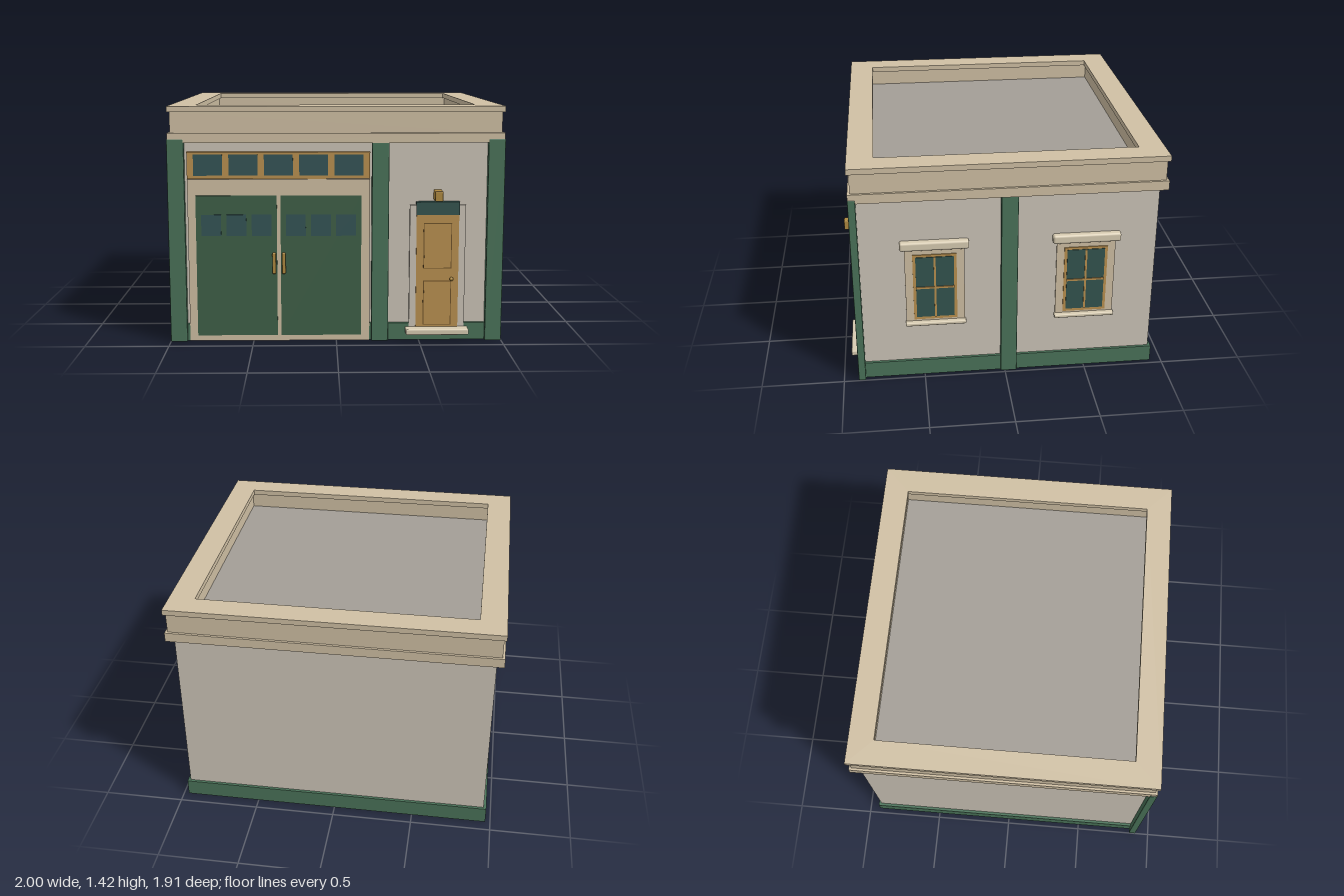
import * as THREE from 'three';
import { RoundedBoxGeometry } from 'three/addons/geometries/RoundedBoxGeometry.js';

const mat = (color) => new THREE.MeshStandardMaterial({ color });
const M = {
  wall: mat(0xcdc5b8), trim: mat(0xd0c0a4), stone: mat(0xd8ccb2), roof: mat(0xa39e96),
  green: mat(0x4a7359), door: mat(0x3f6048), wood: mat(0xbb9150), brass: mat(0xb08a40),
  glass: mat(0x34544f), pane: mat(0x345456), line: mat(0x6e5228),
};

// Box given by its min and max on each axis; r > 0 rounds the edges
function block(parent, name, material, [x0, x1], [y0, y1], [z0, z1], r = 0) {
  const s = [x1 - x0, y1 - y0, z1 - z0];
  const geo = r ? new RoundedBoxGeometry(...s, 2, r) : new THREE.BoxGeometry(...s);
  const mesh = new THREE.Mesh(geo, material);
  mesh.position.set((x0 + x1) / 2, (y0 + y1) / 2, (z0 + z1) / 2);
  mesh.name = name;
  parent.add(mesh);
  return mesh;
}

const CZ = -0.023; // middle of the building in z

// Horizontal rectangular ring around the roof well
function ring(parent, name, hx, hz, ix, iz, y0, y1) {
  const rect = (P, a, b) => {
    const p = new P();
    p.moveTo(-a, -b); p.lineTo(a, -b); p.lineTo(a, b); p.lineTo(-a, b); p.closePath();
    return p;
  };
  const shape = rect(THREE.Shape, hx, hz);
  shape.holes.push(rect(THREE.Path, ix, iz));
  const geo = new THREE.ExtrudeGeometry(shape, { depth: y1 - y0, bevelEnabled: false });
  geo.rotateX(-Math.PI / 2);
  const mesh = new THREE.Mesh(geo, M.trim);
  mesh.position.set(0, y0, CZ);
  mesh.name = name;
  parent.add(mesh);
}

function garage() {
  const g = new THREE.Group();
  g.name = 'garageDoor';
  block(g, 'garageSurround', M.trim, [-0.885, 0.2], [0, 0.987], [0.86, 0.888]);
  block(g, 'transomFrame', M.wood, [-0.885, 0.2], [0.99, 1.15], [0.86, 0.89]);
  for (let i = 0; i < 5; i++) {
    const x = -0.847 + i * 0.209;
    block(g, 'transomPane', M.pane, [x, x + 0.171], [1.01, 1.135], [0.87, 0.894]);
  }
  for (const [x0, x1, hx] of [[-0.837, -0.355, -0.373], [-0.333, 0.149, -0.315]]) {
    block(g, 'doorLeaf', M.door, [x0, x1], [0.035, 0.89], [0.87, 0.893]);
    for (let i = 0; i < 3; i++) {
      const x = x0 + 0.032 + i * 0.15;
      block(g, 'leafPane', M.pane, [x, x + 0.118], [0.647, 0.776], [0.88, 0.896]);
    }
    block(g, 'pullHandle', M.brass, [hx - 0.011, hx + 0.011], [0.417, 0.545], [0.89, 0.91], 0.006);
  }
  return g;
}

// Thin rectangular outline for a door panel
function panelOutline(g, [x0, x1], [y0, y1], z) {
  const t = 0.005;
  block(g, 'panelEdge', M.line, [x0, x1], [y0, y0 + t], z);
  block(g, 'panelEdge', M.line, [x0, x1], [y1 - t, y1], z);
  block(g, 'panelEdge', M.line, [x0, x0 + t], [y0, y1], z);
  block(g, 'panelEdge', M.line, [x1 - t, x1], [y0, y1], z);
  block(g, 'panel', M.wood, [x0 + t, x1 - t], [y0 + t, y1 - t], [z[0], z[1] + 0.002]);
}

function entrance() {
  const g = new THREE.Group();
  g.name = 'entrance';
  block(g, 'entranceSurround', M.wall, [0.44, 0.775], [0.05, 0.83], [0.86, 0.887]);
  block(g, 'entranceDoor', M.wood, [0.48, 0.735], [0.08, 0.77], [0.87, 0.892]);
  block(g, 'entranceTransom', M.glass, [0.478, 0.737], [0.77, 0.85], [0.86, 0.895]);
  panelOutline(g, [0.523, 0.693], [0.444, 0.722], [0.885, 0.894]);
  panelOutline(g, [0.523, 0.693], [0.096, 0.369], [0.885, 0.894]);
  const knob = new THREE.Mesh(new THREE.SphereGeometry(0.012, 14, 10), M.brass);
  knob.name = 'doorKnob';
  knob.position.set(0.693, 0.38, 0.899);
  g.add(knob);
  block(g, 'doorStep', M.stone, [0.417, 0.796], [0.047, 0.083], [0.86, 0.955], 0.008);
  block(g, 'wallLamp', M.brass, [0.582, 0.63], [0.86, 0.922], [0.865, 0.955], 0.006);
  return g;
}

// Window on the +x wall, centred on z = 0
function sideWindow(z) {
  const g = new THREE.Group();
  g.name = 'sideWindow';
  block(g, 'windowSurround', M.trim, [0.94, 0.96], [0.38, 0.88], [-0.178, 0.178]);
  block(g, 'windowFrame', M.wood, [0.94, 0.966], [0.4, 0.84], [-0.131, 0.131]);
  block(g, 'windowGlass', M.glass, [0.94, 0.97], [0.418, 0.825], [-0.114, 0.114]);
  block(g, 'verticalBar', M.wood, [0.95, 0.976], [0.418, 0.825], [-0.006, 0.006]);
  block(g, 'crossBar', M.wood, [0.95, 0.976], [0.615, 0.627], [-0.114, 0.114]);
  block(g, 'lintel', M.stone, [0.935, 0.99], [0.877, 0.933], [-0.205, 0.205], 0.014);
  block(g, 'sill', M.stone, [0.935, 0.99], [0.364, 0.387], [-0.184, 0.184], 0.007);
  g.position.z = z;
  return g;
}

export function createModel() {
  const model = new THREE.Group();
  model.name = 'garageBuilding';

  // Body
  block(model, 'walls', M.wall, [-0.952, 0.952], [0.02, 1.21], [-0.913, 0.867]);
  block(model, 'plinth', M.green, [-0.969, 0.969], [0, 0.105], [-0.93, 0.884]);

  // Pilasters
  for (const s of [-1, 1]) {
    const x = [s * 0.95 - 0.05, s * 0.95 + 0.05];
    block(model, 'cornerPilaster', M.green, x, [0, 1.228], [0.866, 0.91], 0.006);
  }
  block(model, 'frontPilaster', M.green, [0.211, 0.313], [0, 1.208], [0.85, 0.908], 0.006);
  block(model, 'sidePilaster', M.green, [0.93, 0.988], [0, 1.208], [-0.073, 0.027], 0.006);

  // Cornice and roof
  block(model, 'lowerCornice', M.trim, [-0.995, 0.995], [1.205, 1.263], [-0.955, 0.909]);
  ring(model, 'parapet', 0.98, 0.917, 0.85, 0.79, 1.263, 1.386);
  ring(model, 'parapetCap', 0.995, 0.932, 0.838, 0.777, 1.386, 1.42);
  block(model, 'roofDeck', M.roof, [-0.86, 0.86], [1.25, 1.29], [CZ - 0.8, CZ + 0.8]);

  model.add(garage(), entrance(), sideWindow(0.423), sideWindow(-0.487));
  return model;
}
